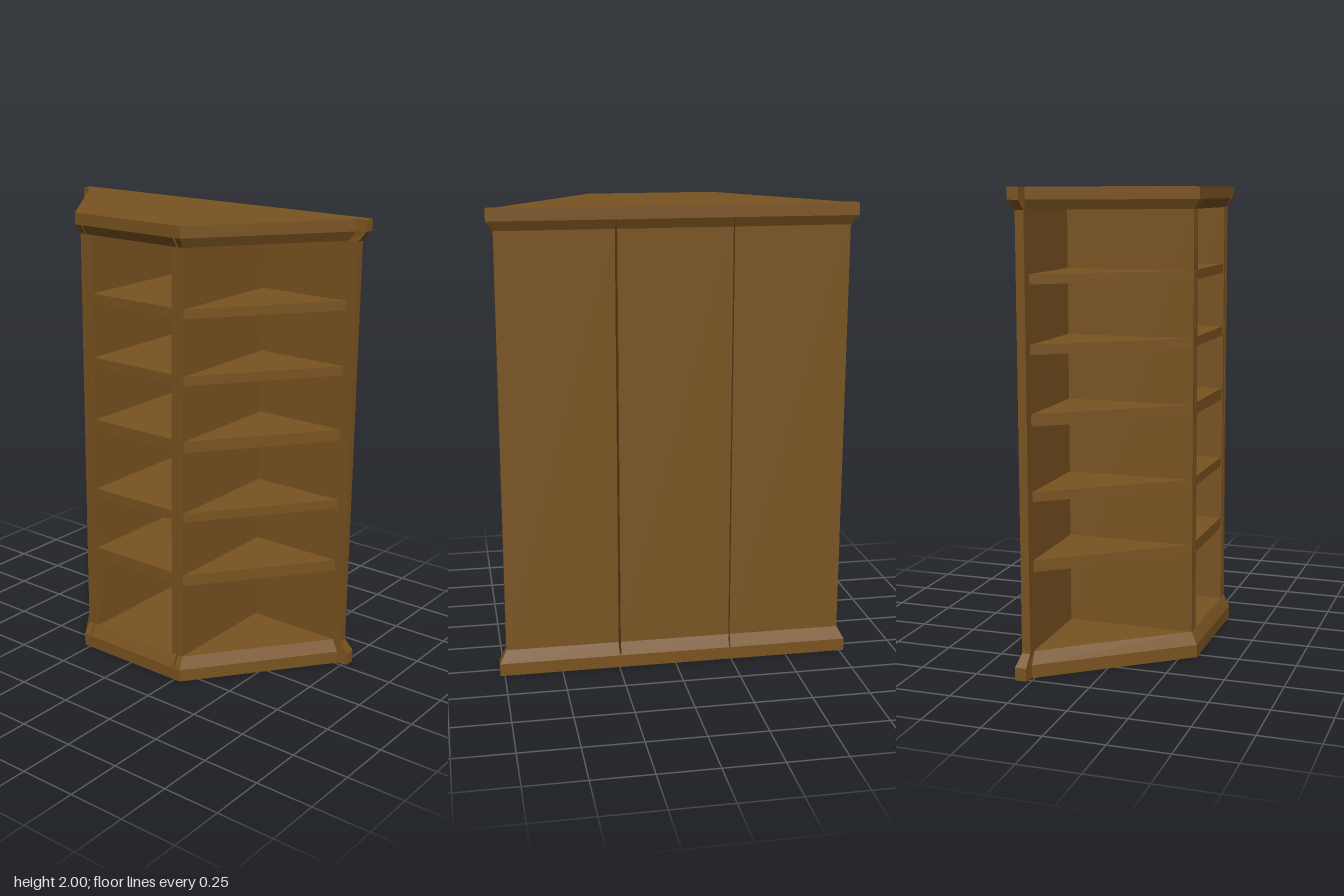
import * as THREE from 'three';

const wood = new THREE.MeshStandardMaterial({ color: 0x7a5320 });

// Solid between two plan outlines of [x, z] points with equal point counts
function loft(name, lower, y0, upper, y1) {
  let a = lower.map(([x, z]) => new THREE.Vector2(x, -z));
  let b = upper.map(([x, z]) => new THREE.Vector2(x, -z));
  if (THREE.ShapeUtils.area(a) < 0) { a.reverse(); b.reverse(); }
  const pos = [];
  const put = (p, y) => pos.push(p.x, y, -p.y);
  const n = a.length;
  for (let i = 0; i < n; i++) {
    const j = (i + 1) % n;
    put(a[i], y0); put(a[j], y0); put(b[j], y1);
    put(a[i], y0); put(b[j], y1); put(b[i], y1);
  }
  for (const [i, j, k] of THREE.ShapeUtils.triangulateShape(a, [])) {
    put(b[i], y1); put(b[j], y1); put(b[k], y1);
    put(a[k], y0); put(a[j], y0); put(a[i], y0);
  }
  const g = new THREE.BufferGeometry();
  g.setAttribute('position', new THREE.Float32BufferAttribute(pos, 3));
  g.computeVertexNormals();
  const mesh = new THREE.Mesh(g, wood);
  mesh.name = name;
  return mesh;
}

const prism = (name, pts, y0, y1) => loft(name, pts, y0, pts, y1);
const rect = (x0, x1, z0, z1) => [[x0, z0], [x1, z0], [x1, z1], [x0, z1]];

// Half outlines of the corner units: body, and flared moulding
const bodySide = [[0.297, 0.74], [0.26, 0.74], [0.26, 0.698], [-0.295, 0.274]];
const flareSide = [[0.317, 0.77], [0.268, 0.77], [0.26, 0.724], [-0.32, 0.28]];
const FLOOR = 0.11, CEILING = 1.91, LOW = 0.055, HIGH = 1.95;
const shelves = [[0.445, 0.495], [0.74, 0.78], [1.05, 1.1], [1.34, 1.38], [1.62, 1.66]];

export function createModel() {
  const model = new THREE.Group();
  model.name = 'bookcase';

  // Plinth and crown slabs spanning all three units
  const mirrored = flareSide.map(([x, z]) => [x, -z]).reverse();
  const slab = [...flareSide, ...mirrored];
  model.add(prism('plinth', slab, 0, LOW), prism('crown', slab, HIGH, 2));

  // Middle unit, open towards -x
  const middle = new THREE.Group();
  middle.name = 'middleUnit';
  const half = 0.241;
  const plan = rect(-0.295, 0.297, -half, half);
  const flare = rect(-0.32, 0.317, -half, half);
  middle.add(
    loft('plinthMoulding', flare, LOW, plan, FLOOR),
    loft('crownMoulding', plan, CEILING, flare, HIGH),
    prism('backPanel', rect(0.26, 0.297, -half, half), FLOOR, CEILING));
  for (const s of [-1, 1])
    middle.add(prism('upright', rect(-0.295, 0.26, s * half, s * 0.216), FLOOR, CEILING));
  for (const [y0, y1] of shelves)
    middle.add(prism('shelf', rect(-0.29, 0.26, -0.216, 0.216), y0, y1));
  model.add(middle);

  // Triangular end units with a narrow joint beside the middle unit
  for (const [name, s, joint] of [['leftUnit', 1, 0.251], ['rightUnit', -1, 0.247]]) {
    const unit = new THREE.Group();
    unit.name = name;
    const side = (pts) => pts.map(([x, z]) => [x, s * z]);
    const body = side([...bodySide, [-0.295, joint], [0.297, joint]]);
    const wide = side([...flareSide, [-0.32, joint], [0.317, joint]]);
    unit.add(
      loft('plinthMoulding', wide, LOW, body, FLOOR),
      loft('crownMoulding', body, CEILING, wide, HIGH),
      prism('backPanel', side(rect(0.26, 0.297, joint, 0.74)), FLOOR, CEILING),
      prism('upright', side([[-0.295, joint], [0.26, joint], [0.26, 0.274], [-0.295, 0.274]]), FLOOR, CEILING));
    for (const [y0, y1] of shelves)
      unit.add(prism('shelf', side([[-0.29, 0.274], [0.26, 0.274], [0.26, 0.694]]), y0, y1));
    model.add(unit);
  }
  return model;
}
